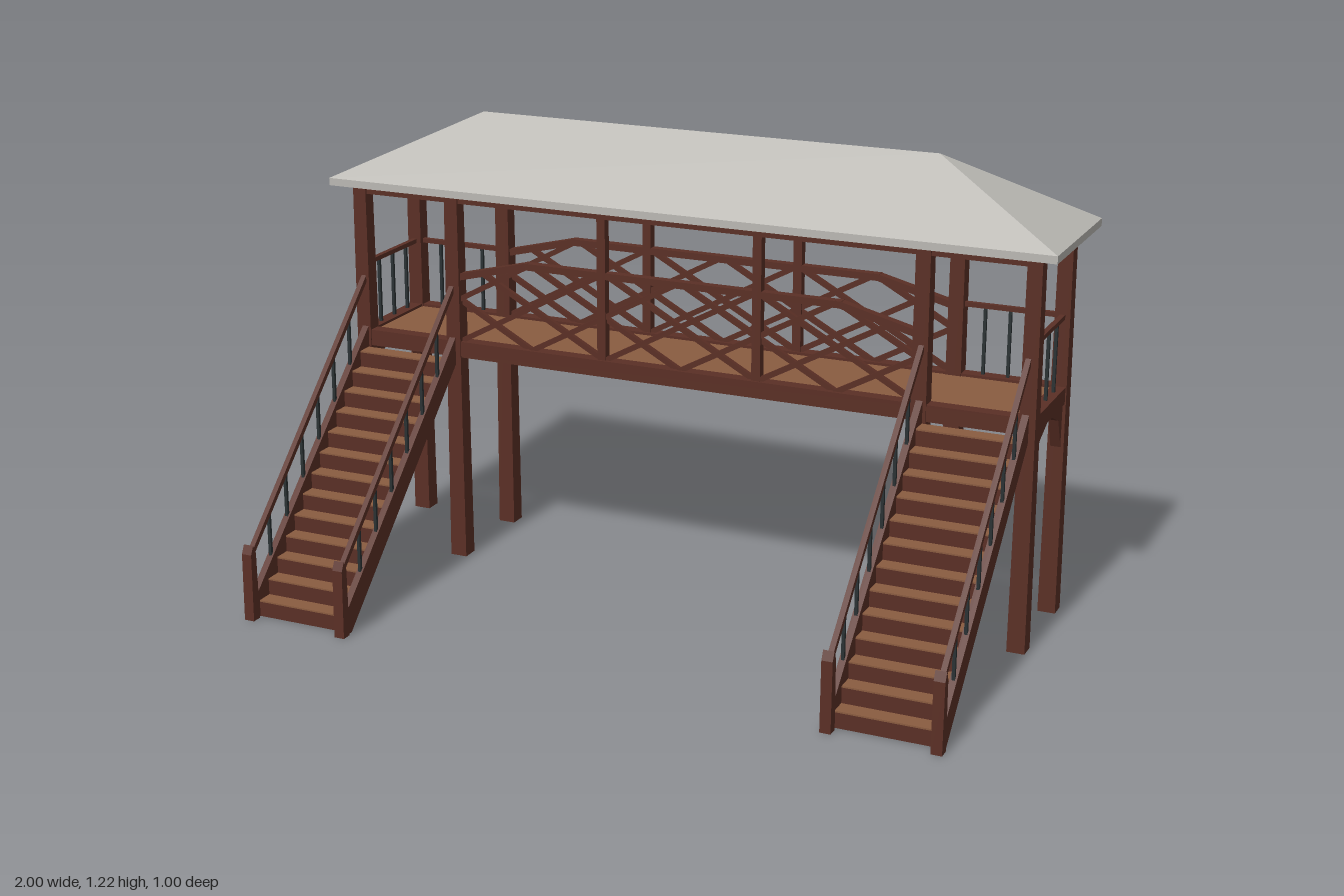
import * as THREE from 'three';

export function createModel() {
  const mat = (name, color) => {
    const m = new THREE.MeshStandardMaterial({ color });
    m.name = name;
    return m;
  };
  const wood = mat('dark wood', 0x5a2f25);
  const plank = mat('plank wood', 0x8a5c40);
  const iron = mat('dark iron', 0x2a3133);
  const slate = mat('grey roof', 0xbab8b3);

  const model = new THREE.Group();
  model.name = 'coveredFootbridge';

  const add = (name, geo, material) => {
    const mesh = new THREE.Mesh(geo, material);
    mesh.name = name;
    model.add(mesh);
    return mesh;
  };
  const box = (name, material, x, y, z, w, h, d) => {
    const mesh = add(name, new THREE.BoxGeometry(w, h, d), material);
    mesh.position.set(x, y, z);
    return mesh;
  };
  // straight bar between two points, square to the axes of its plane
  const bar = (name, material, a, b, thick, depth) => {
    const p = new THREE.Vector3(...a), q = new THREE.Vector3(...b);
    const alongX = Math.abs(q.x - p.x) > Math.abs(q.z - p.z);
    const len = p.distanceTo(q);
    const geo = alongX ? new THREE.BoxGeometry(len, thick, depth) : new THREE.BoxGeometry(depth, thick, len);
    const mesh = add(name, geo, material);
    mesh.position.copy(p).add(q).multiplyScalar(0.5);
    if (alongX) mesh.rotation.z = Math.atan((q.y - p.y) / (q.x - p.x));
    else mesh.rotation.x = -Math.atan((q.y - p.y) / (q.z - p.z));
  };
  // side profile given as [z, y] points, extruded along x
  const sidePlate = (name, material, pts, x, width) => {
    const shape = new THREE.Shape(pts.map(([z, y]) => new THREE.Vector2(z, y)));
    const geo = new THREE.ExtrudeGeometry(shape, { depth: width, bevelEnabled: false });
    geo.rotateY(-Math.PI / 2);
    geo.translate(x + width / 2, 0, 0);
    add(name, geo, material);
  };

  const OUT = 0.935, IN = 0.656, FRONT = -0.148, BACK = -0.433, MID = -0.29;
  const DECK = 0.615, EAVE = 1.025;

  // hipped roof: eave slab plus four slopes
  const zf = -0.085, zb = -0.498, ridge = 0.637;
  box('roofEave', slate, 0, 1.035, (zf + zb) / 2, 2, 0.02, zf - zb);
  const A = [-1, 1.045, zf], B = [1, 1.045, zf], C = [1, 1.045, zb], D = [-1, 1.045, zb];
  const E = [-ridge, 1.218, -0.2915], F = [ridge, 1.218, -0.2915];
  const roof = new THREE.BufferGeometry();
  roof.setAttribute('position', new THREE.Float32BufferAttribute(
    [A, B, F, A, F, E, C, D, E, C, E, F, B, C, F, D, A, E].flat(), 3));
  roof.computeVertexNormals();
  add('roofSlopes', roof, slate);

  // deck
  box('deckBase', wood, 0, 0.591, MID, 1.88, 0.032, 0.3);
  box('deckPlanks', plank, 0, 0.6095, MID, 1.88, 0.005, 0.3);

  for (const z of [FRONT, BACK]) {
    box('deckBeam', wood, 0, 0.597, z, 1.88, 0.044, 0.036);
    box('roofBeam', wood, 0, 1.012, z, 1.88, 0.026, 0.028);
    // tapered columns
    for (const x of [-OUT, -IN, IN, OUT]) {
      const geo = new THREE.CylinderGeometry(0.019 * Math.SQRT2, 0.0235 * Math.SQRT2, EAVE, 4, 1);
      geo.rotateY(Math.PI / 4);
      const flat = geo.toNonIndexed();
      flat.computeVertexNormals();
      add('column', flat, wood).position.set(x, EAVE / 2, z);
    }
    for (const x of [-0.218, 0.218]) box('bridgePost', wood, x, 0.8, z, 0.024, 0.42, 0.024);

    // bridge parapet: top rail with sloped ends
    bar('parapetRail', wood, [-0.445, 0.847, z], [0.445, 0.847, z], 0.018, 0.024);
    for (const s of [-1, 1]) {
      bar('parapetRail', wood, [s * 0.44, 0.847, z], [s * 0.648, 0.795, z], 0.018, 0.024);
    }
    // lattice of crossing braces, trimmed to the parapet outline
    const half = 0.215, low = DECK, high = 0.85, slope = (high - low) / (2 * half);
    const topAt = x => high - Math.max(0, x - 0.44) * 0.25;
    for (let k = -4; k <= 2; k++) {
      const pts = [];
      for (let i = 0; i <= 200; i++) {
        const x = k * half + (2 * half * i) / 200;
        const y = low + (x - k * half) * slope;
        if (Math.abs(x) <= 0.65 && y <= topAt(Math.abs(x)) + 0.001) pts.push([x, y]);
      }
      const [p, q] = [pts[0], pts[pts.length - 1]];
      for (const s of [-1, 1]) {
        bar('latticeBrace', wood, [s * p[0], p[1], z + s * 0.003], [s * q[0], q[1], z + s * 0.003], 0.014, 0.012);
      }
    }
  }

  // stair layout
  const z0 = 0.46, z1 = -0.125, steps = 13;
  const run = (z0 - z1) / steps, rise = DECK / (steps + 1);
  const railY = z => 0.185 + (0.47 - z) * 0.966;
  const stringY = z => 0.06 + (0.475 - z) * 0.945;

  for (const s of [-1, 1]) {
    // end of landing: beam, arched brackets, railing
    box('endBeam', wood, s * OUT, 0.597, MID, 0.036, 0.044, 0.3);
    for (const m of [-1, 1]) {
      sidePlate('archBracket', wood, [[0.125, 0.577], [0, 0.577], [0.087, 0.54], [0.125, 0.45]]
        .map(([z, y]) => [MID + m * z, y]), s * OUT, 0.026);
    }
    box('endRail', wood, s * OUT, 0.802, MID, 0.014, 0.012, 0.26);
    for (const dz of [-0.072, 0, 0.072]) {
      box('endBaluster', iron, s * OUT, 0.71, MID + dz, 0.008, 0.19, 0.008);
    }
    // back of landing railing
    const cx = s * (OUT + IN) / 2;
    box('backRail', wood, cx, 0.802, BACK, OUT - IN, 0.012, 0.014);
    for (const dx of [-0.066, 0, 0.066]) {
      box('backBaluster', iron, cx + dx, 0.71, BACK, 0.008, 0.19, 0.008);
    }

    // stair flight with sawtooth top and sloping soffit
    const saw = [[0.448, 0], [z0, 0]];
    for (let i = 0; i < steps; i++) {
      const y = (i + 1) * rise - 0.004;
      saw.push([z0 - i * run, y], [z0 - (i + 1) * run, y]);
      box('tread', plank, cx, y + 0.002, z0 - (i + 0.5) * run, 0.262, 0.004, run);
    }
    saw.push([z1, 0.557]);
    sidePlate('stairFlight', wood, saw, cx, 0.262);

    // stringers, newels, handrails and balusters on both sides
    for (const x of [s * 0.93, s * 0.659]) {
      sidePlate('stringer', wood,
        [[0.452, 0], [0.475, 0], [0.475, 0.06], [-0.13, stringY(-0.13)], [-0.13, 0.558]], x, 0.018);
      sidePlate('newel', wood,
        [[0.47, 0], [0.498, 0], [0.495, 0.182], [0.484, 0.205], [0.473, 0.182]], x, 0.028);
      bar('handrail', wood, [x, railY(0.48), 0.48], [x, railY(-0.135), -0.135], 0.014, 0.014);
      for (let i = 0; i < 6; i++) {
        const z = 0.385 - i * 0.085, a = stringY(z) - 0.01, b = railY(z);
        box('stairBaluster', iron, x, (a + b) / 2, z, 0.008, b - a, 0.008);
      }
    }
  }
  return model;
}
